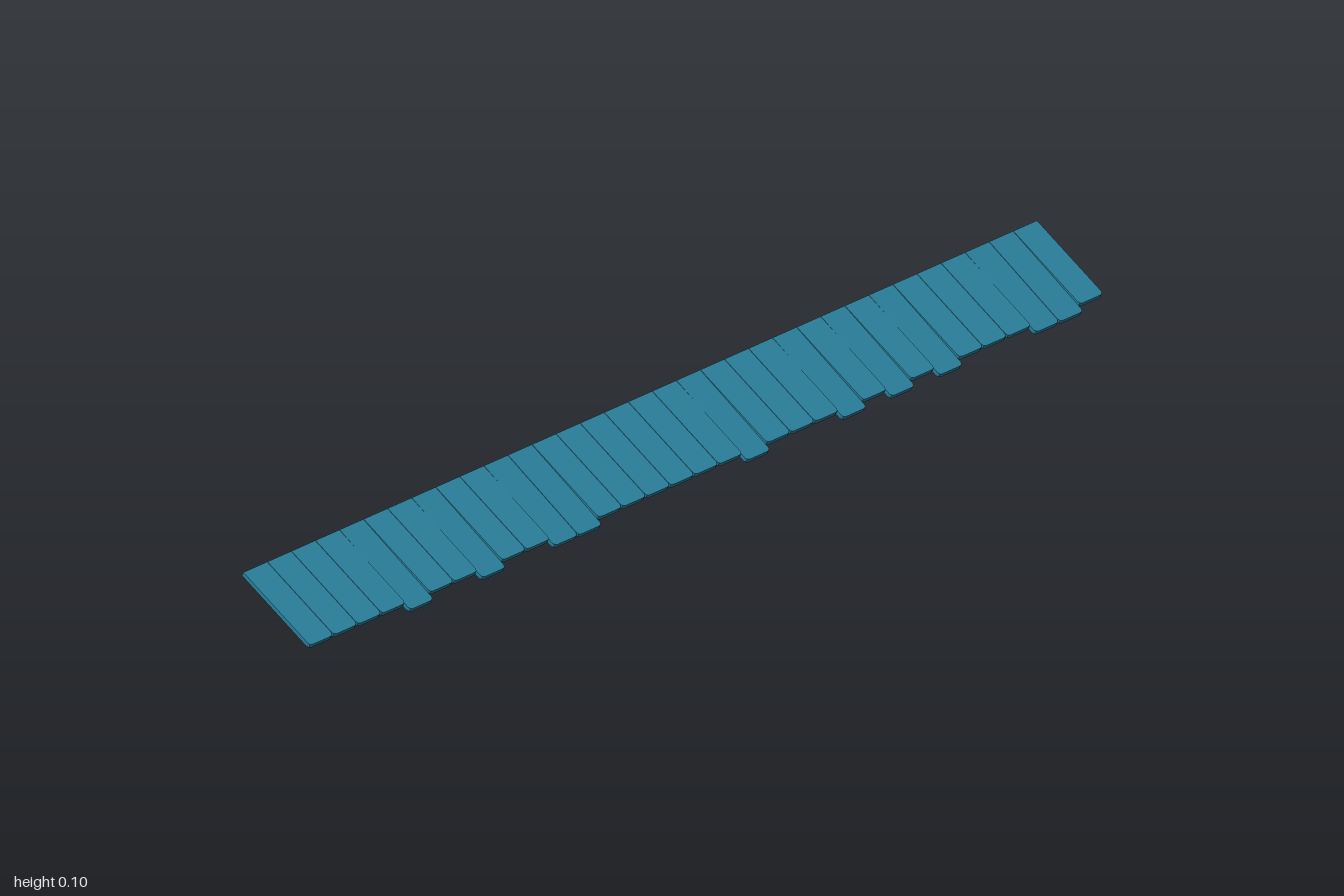
import * as THREE from 'three';

const COUNT = 33, GAP = 0.001, THICK = 0.009, CORNER = 0.007;
const PITCH = (2 + GAP) / COUNT;
const LONG_SLATS = new Set([4, 7, 10, 11, 18, 22, 24, 26, 30, 31]);

// One flat shingle: square at the back, clipped corners at the front.
// The origin lies on the upper back edge and the shingle runs along +z.
function shingleGeometry(length) {
  const h = (PITCH - GAP) / 2;
  const shape = new THREE.Shape([
    new THREE.Vector2(-h, 0),
    new THREE.Vector2(-h, -length + CORNER),
    new THREE.Vector2(-h + CORNER * 0.3, -length + CORNER * 0.3),
    new THREE.Vector2(-h + CORNER, -length),
    new THREE.Vector2(h - CORNER, -length),
    new THREE.Vector2(h - CORNER * 0.3, -length + CORNER * 0.3),
    new THREE.Vector2(h, -length + CORNER),
    new THREE.Vector2(h, 0),
  ]);
  const geometry = new THREE.ExtrudeGeometry(shape, { depth: THICK, bevelEnabled: false });
  geometry.rotateX(-Math.PI / 2);
  geometry.translate(0, -THICK, 0);
  return geometry;
}

export function createModel() {
  const model = new THREE.Group();
  model.name = 'shingleRow';
  const blue = new THREE.MeshStandardMaterial({ color: 0x2a7f9c });
  blue.name = 'slateBlue';

  const shortGeometry = shingleGeometry(0.196);
  const longGeometry = shingleGeometry(0.21);

  // Shingles side by side; the long ones hang lower and lie slightly steeper
  for (let i = 0; i < COUNT; i++) {
    const long = LONG_SLATS.has(i);
    const shingle = new THREE.Mesh(long ? longGeometry : shortGeometry, blue);
    shingle.name = long ? 'longShingle' : 'shortShingle';
    shingle.position.set((i - (COUNT - 1) / 2) * PITCH, 0.1015, -0.092);
    shingle.rotation.x = THREE.MathUtils.degToRad(long ? 26.4 : 25.1);
    model.add(shingle);
  }
  return model;
}
